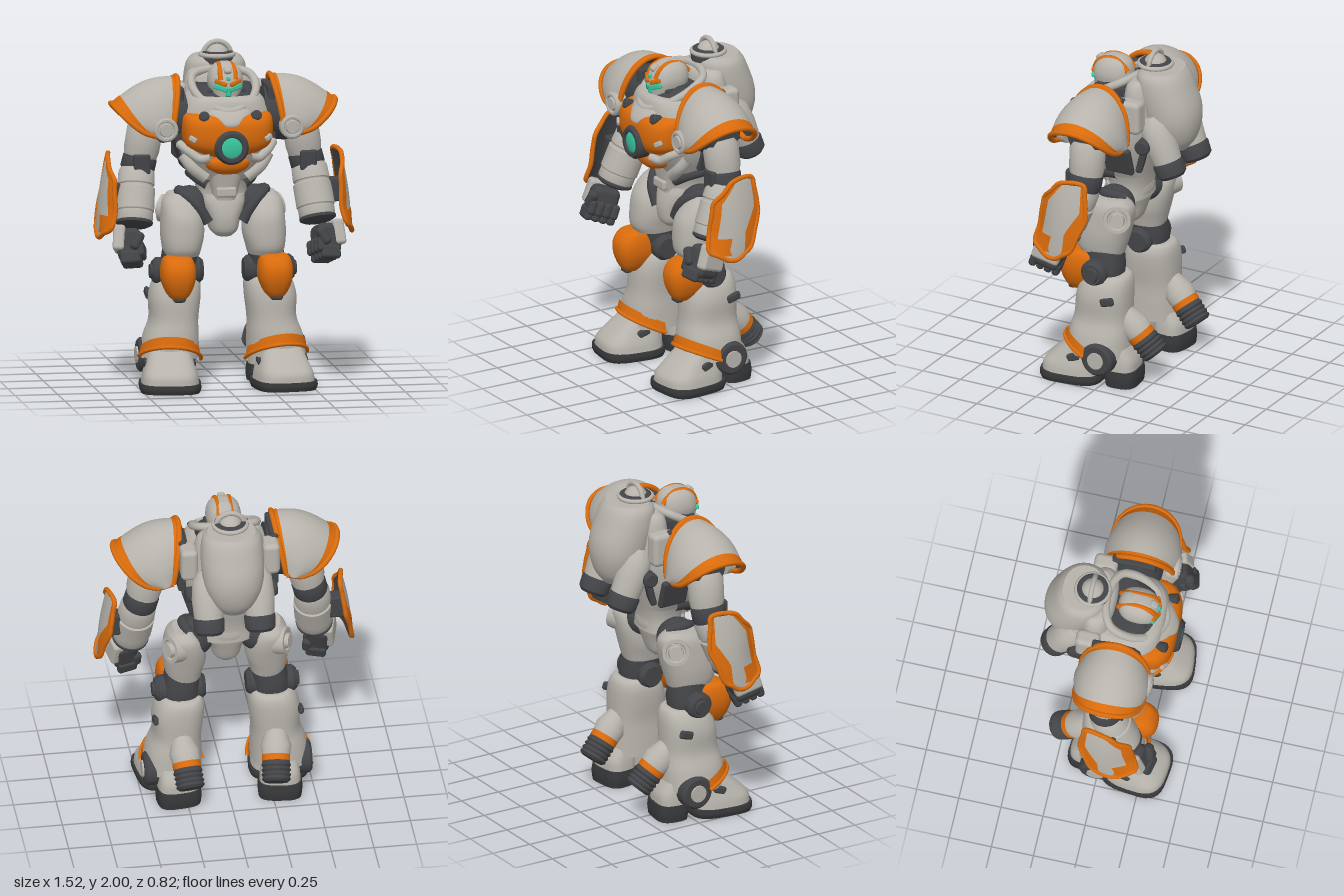
import * as THREE from 'three';
import { toCreasedNormals } from 'three/addons/utils/BufferGeometryUtils.js';
import { RoundedBoxGeometry } from 'three/addons/geometries/RoundedBoxGeometry.js';

const paint = (name, color) => Object.assign(new THREE.MeshStandardMaterial({ color }), { name });
const grey = paint('armour grey', 0xb7b3ac), orange = paint('trim orange', 0xd96b0c);
const dark = paint('joint dark grey', 0x434447), sole = paint('rubber black', 0x37383a), teal = paint('glow teal', 0x38c79e);
const V = (x, y, z) => new THREE.Vector3(x, y, z);

function add(parent, name, geo, mat, pos = [0, 0, 0], rot = [0, 0, 0]) {
  const m = new THREE.Mesh(geo, mat);
  m.name = name; m.position.set(...pos); m.rotation.set(...rot);
  parent.add(m);
  return m;
}
function indexed(pos, idx) {
  const g = new THREE.BufferGeometry();
  g.setAttribute('position', new THREE.Float32BufferAttribute(pos, 3));
  g.setIndex(idx); g.computeVertexNormals();
  return g;
}
// Closed body from horizontal superellipse sections [y, cx, cz, rx, rz]
function loft(sections, n = 2.4, sides = 32, steps = 4) {
  const curve = new THREE.CubicInterpolant(sections.map((_, i) => i), sections.flat(), 5);
  const rows = (sections.length - 1) * steps + 1, pos = [], idx = [];
  const bend = c => Math.sign(c) * Math.abs(c) ** (2 / n);
  const ring = t => {
    const [y, cx, cz, rx, rz] = curve.evaluate(t);
    for (let i = 0; i < sides; i++) {
      const a = i / sides * Math.PI * 2;
      pos.push(cx + rx * bend(Math.cos(a)), y, cz + rz * bend(Math.sin(a)));
    }
    return [cx, y, cz];
  };
  for (let r = 0; r < rows; r++) ring(r / steps);
  for (let r = 0; r < rows - 1; r++) for (let i = 0; i < sides; i++) {
    const a = r * sides + i, c = r * sides + (i + 1) % sides;
    idx.push(a, a + sides, c, c, a + sides, c + sides);
  }
  for (const top of [false, true]) {
    const base = pos.length / 3, mid = base + sides;
    pos.push(...ring(top ? sections.length - 1 : 0));
    for (let i = 0; i < sides; i++) {
      const a = base + i, b = base + (i + 1) % sides;
      idx.push(mid, top ? b : a, top ? a : b);
    }
  }
  return indexed(pos, idx);
}
// Open curved sheet from fn(u, v)
function sheet(fn, nu, nv, flip) {
  const pos = [], idx = [];
  for (let j = 0; j <= nv; j++) for (let i = 0; i <= nu; i++) pos.push(...fn(i / nu, j / nv).toArray());
  for (let j = 0; j < nv; j++) for (let i = 0; i < nu; i++) {
    const a = j * (nu + 1) + i, b = a + 1, c = a + nu + 1, d = c + 1;
    idx.push(...(flip ? [a, c, b, b, c, d] : [a, b, c, b, d, c]));
  }
  return indexed(pos, idx);
}
// Turned part between two points; profile is [fraction along, radius]
function limb(parent, name, mat, a, b, profile) {
  const A = V(...a), d = V(...b).sub(A), len = d.length();
  const pts = [[profile[0][0], 0], ...profile, [profile.at(-1)[0], 0]].map(([t, r]) => new THREE.Vector2(r, t * len));
  const m = add(parent, name, toCreasedNormals(new THREE.LatheGeometry(pts, 32), 0.6), mat, a);
  m.quaternion.setFromUnitVectors(V(0, 1, 0), d.normalize());
}
const tube = (pts, r, closed = false, n = 48) => new THREE.TubeGeometry(
  new THREE.CatmullRomCurve3(pts.map(p => p.isVector3 ? p : V(...p)), closed, 'centripetal'), n, r, 10, closed);
const box = (x, y, z, r = 0.015) => new RoundedBoxGeometry(x, y, z, 2, r);

// Reflected copy with corrected face order
function mirrored(src, name) {
  const out = new THREE.Group(); out.name = name;
  src.updateMatrixWorld(true);
  src.traverse(o => {
    if (!o.isMesh) return;
    const g = o.geometry.clone().applyMatrix4(new THREE.Matrix4().makeScale(-1, 1, 1).multiply(o.matrixWorld));
    const ix = g.index ? Array.from(g.index.array) : Array.from({ length: g.attributes.position.count }, (_, i) => i);
    for (let i = 0; i < ix.length; i += 3) [ix[i + 1], ix[i + 2]] = [ix[i + 2], ix[i + 1]];
    add(out, o.name, g.setIndex(ix), o.material);
  });
  return out;
}

function buildLeg() {
  const g = new THREE.Group();
  // thigh, hip and knee
  add(g, 'hipJoint', new THREE.SphereGeometry(0.12, 28, 20), dark, [0.19, 1.05, 0.04]);
  add(g, 'thigh', loft([[0.775, 0.245, 0.085, 0.1, 0.13], [0.82, 0.245, 0.09, 0.112, 0.148], [0.9, 0.24, 0.08, 0.125, 0.16],
    [1.0, 0.24, 0.06, 0.12, 0.165], [1.08, 0.25, 0.03, 0.1, 0.14], [1.13, 0.255, 0.02, 0.06, 0.09]]), grey);
  limb(g, 'hipDisc', grey, [0.28, 1.02, -0.03], [0.36, 1.03, -0.07], [[0, 0.085], [0.8, 0.08], [0.8, 0.06], [0.7, 0.055], [0.7, 0.045], [1, 0.04]]);
  add(g, 'kneeCore', loft([[0.62, 0.265, 0.05, 0.1, 0.1], [0.7, 0.262, 0.06, 0.105, 0.115], [0.82, 0.25, 0.075, 0.1, 0.115]]), dark);
  limb(g, 'kneeJoint', dark, [0.12, 0.68, 0.07], [0.415, 0.68, 0.07], [[0, 0.06], [0.08, 0.08], [0.92, 0.08], [1, 0.06]]);
  limb(g, 'kneeCap', dark, [0.4, 0.68, 0.07], [0.43, 0.68, 0.07], [[0, 0.05], [1, 0.04]]);
  add(g, 'kneePad', loft([[0.53, 0.285, 0.22, 0.035, 0.05], [0.57, 0.285, 0.21, 0.07, 0.09], [0.64, 0.285, 0.2, 0.097, 0.125],
    [0.71, 0.285, 0.2, 0.1, 0.125], [0.765, 0.285, 0.19, 0.085, 0.1], [0.785, 0.285, 0.18, 0.055, 0.06]], 2.7), orange);
  add(g, 'kneeLatch', box(0.07, 0.05, 0.05), dark, [0.285, 0.545, 0.255]);
  // shin armour
  add(g, 'shin', loft([[0.18, 0.315, 0.06, 0.172, 0.19], [0.3, 0.305, 0.06, 0.16, 0.185], [0.4, 0.288, 0.055, 0.142, 0.17],
    [0.52, 0.282, 0.05, 0.15, 0.165], [0.6, 0.272, 0.04, 0.142, 0.15], [0.645, 0.265, 0.03, 0.12, 0.125], [0.66, 0.262, 0.03, 0.1, 0.1]]), grey);
  add(g, 'shinVent', box(0.03, 0.05, 0.09), dark, [0.425, 0.535, -0.04], [0.3, 0, 0]);
  const band = (u, v) => {
    const a = (u - 0.5) * 3, r = 1 - 0.07 * v;
    return V(0.312 + 0.183 * r * Math.sin(a), 0.165 + 0.095 * Math.cos(a) + 0.015 * Math.sin(a) + 0.06 * v, 0.065 + 0.212 * r * Math.cos(a));
  };
  add(g, 'ankleTrim', sheet(band, 32, 3), orange);
  add(g, 'ankleTrimEdge', tube(Array.from({ length: 13 }, (_, i) => band(i / 12, 0)), 0.011), orange);
  // calf thruster
  const a = [0.275, 0.42, -0.07], b = [0.25, 0.19, -0.27];
  limb(g, 'calfNozzle', grey, a, b, [[0, 0.06], [0.3, 0.09], [0.55, 0.078]]);
  limb(g, 'calfTrim', orange, a, b, [[0.48, 0.082], [0.6, 0.082]]);
  limb(g, 'calfExhaust', dark, a, b, [[0.6, 0.078], [0.68, 0.086], [0.72, 0.076], [0.77, 0.086], [0.81, 0.076], [0.86, 0.086], [0.9, 0.078], [0.95, 0.084], [1, 0.068]]);
  // ankle wheel
  limb(g, 'ankleRing', dark, [0.4, 0.18, 0], [0.49, 0.18, 0], [[0, 0.1], [0.85, 0.1], [1, 0.085]]);
  limb(g, 'ankleHub', grey, [0.4, 0.18, 0], [0.5, 0.18, 0], [[0, 0.055], [1, 0.05]]);
  // foot, turned slightly outward
  const f = new THREE.Group(); f.name = 'foot'; f.position.set(0.308, 0, 0); f.rotation.y = 0.12; g.add(f);
  add(f, 'toeSole', loft([[0, 0, 0.215, 0.172, 0.185], [0.025, 0, 0.215, 0.18, 0.193], [0.052, 0, 0.215, 0.178, 0.19]], 3.6), sole);
  add(f, 'toe', loft([[0.05, 0, 0.215, 0.168, 0.185], [0.1, 0, 0.21, 0.16, 0.18], [0.155, 0, 0.18, 0.142, 0.155], [0.22, 0, 0.13, 0.125, 0.13], [0.27, 0, 0.09, 0.11, 0.12]], 3), grey);
  add(f, 'heelSole', loft([[0, 0, -0.09, 0.125, 0.095], [0.05, 0, -0.09, 0.13, 0.1], [0.1, 0, -0.09, 0.125, 0.095]], 3.2), sole);
  add(f, 'heel', loft([[0.09, 0, -0.085, 0.12, 0.092], [0.16, 0, -0.08, 0.115, 0.09], [0.23, 0, -0.06, 0.1, 0.07]], 3), grey);
  for (const s of [-1, 1]) add(f, 'instepClamp', box(0.05, 0.05, 0.08), dark, [0.125 * s, 0.16, 0.18], [0.4, 0, 0]);
  return g;
}

// Shoulder shell: u runs back to front over the arch, v from neck to outer rim
function padPoint(u, v, inset = 0) {
  const t = (u - 0.5) * Math.PI, c = Math.max(0, Math.cos(t)), s = Math.sin(t);
  const bulge = 0.05 * Math.sin(Math.PI * v) - inset;
  return V(0.33 - 0.055 * c, 1.525 + 0.295 * c, 0.08 + 0.2 * s)
    .lerp(V(0.42 + 0.235 * c ** 0.6, 1.5 + 0.17 * c, 0.08 + 0.2 * s), v).add(V(0, bulge * c, bulge * s * 0.5));
}
// Forearm shield: rows of [y, back z, front z]; u runs back to front, v upward
const shieldRows = [[0.905, 0.12, 0.18], [0.965, 0.03, 0.285], [1.16, -0.045, 0.255], [1.24, -0.04, 0.24], [1.36, -0.02, 0.125]];
function shieldPoint(u, v, lift = 0) {
  const i = Math.min(3, Math.floor(v * 4));
  const [y, z0, z1] = shieldRows[i].map((n, k) => THREE.MathUtils.lerp(n, shieldRows[i + 1][k], v * 4 - i));
  const z = z0 + (z1 - z0) * u, d = z - 0.1, wrap = d > 0 ? 2.6 * Math.min(1, (y - 0.85) / 0.2) : 1.8;
  return V(0.745 - 0.32 * Math.max(0, y - 0.93) ** 2 - wrap * d * d + lift, y, z);
}

function buildArm() {
  const g = new THREE.Group();
  // shoulder pad with trimmed edges
  add(g, 'shoulderPad', sheet((u, v) => padPoint(u, v), 36, 14), grey);
  add(g, 'shoulderLining', sheet((u, v) => padPoint(u, v, 0.02), 36, 14, true), dark);
  add(g, 'padOuterBand', sheet((u, v) => padPoint(u, 0.87 + 0.13 * v, -0.004), 36, 3), orange);
  add(g, 'padInnerBand', sheet((u, v) => padPoint(u, 0.09 * v, -0.004), 36, 3), orange);
  for (const v of [0, 1]) add(g, v ? 'padOuterTrim' : 'padInnerTrim',
    tube(Array.from({ length: 25 }, (_, i) => padPoint(i / 24, v)), 0.016, false, 60), orange);
  for (const u of [0, 1]) add(g, 'padLowerTrim', tube([padPoint(u, 0), padPoint(u, 1)], 0.017, false, 4), orange);
  limb(g, 'padDisc', grey, [0.37, 1.54, 0.24], [0.37, 1.54, 0.31], [[0, 0.07], [0.9, 0.07], [1, 0.062], [1, 0.05], [0.85, 0.046], [0.85, 0.04], [1.05, 0.036]]);
  limb(g, 'shoulderJoint', dark, [0.22, 1.6, 0.07], [0.52, 1.57, 0.07], [[0, 0.15], [0.5, 0.155], [0.85, 0.125], [1, 0.09]]);
  add(g, 'shoulderBracket', box(0.05, 0.34, 0.26), dark, [0.27, 1.6, 0.06]);
  // arm
  limb(g, 'upperArm', grey, [0.45, 1.55, 0.07], [0.49, 1.31, 0.06], [[0, 0.09], [0.15, 0.105], [0.65, 0.104], [0.95, 0.09]]);
  limb(g, 'elbow', dark, [0.475, 1.385, 0.06], [0.51, 1.25, 0.07], [[0, 0.085], [0.3, 0.1], [0.75, 0.1], [1, 0.085]]);
  add(g, 'elbowClasp', box(0.1, 0.12, 0.05), dark, [0.49, 1.32, 0.15]);
  const a = [0.505, 1.29, 0.065], b = [0.54, 0.97, 0.19];
  limb(g, 'forearm', grey, a, b, [[0, 0.09], [0.08, 0.104], [0.3, 0.108], [0.32, 0.102], [0.35, 0.102], [0.37, 0.112], [0.75, 0.112], [0.77, 0.106], [0.9, 0.106], [0.95, 0.1]]);
  limb(g, 'wristRing', dark, a, b, [[0.92, 0.1], [0.94, 0.108], [0.98, 0.106], [1.02, 0.08]]);
  // fist
  const h = new THREE.Group(); h.name = 'hand'; h.position.set(0.575, 0.87, 0.245); h.rotation.set(-0.35, 0.25, 0); g.add(h);
  add(h, 'palm', box(0.14, 0.19, 0.17, 0.04), dark, [0, -0.01, 0]);
  add(h, 'handPlate', box(0.07, 0.15, 0.17, 0.02), grey, [0.055, 0.03, 0.01], [0, 0, 0.1]);
  for (let i = 0; i < 4; i++) {
    add(h, 'finger', box(0.12, 0.08, 0.048, 0.02), dark, [-0.005, -0.09, -0.072 + i * 0.048]);
    add(h, 'fingertip', box(0.055, 0.09, 0.046, 0.02), dark, [-0.06, -0.045, -0.072 + i * 0.048]);
  }
  add(h, 'thumb', box(0.06, 0.11, 0.06, 0.025), dark, [-0.05, 0.0, 0.085], [0, 0, 0.5]);
  // curved forearm shield with painted border
  add(g, 'armShield', sheet((u, v) => shieldPoint(u, v), 14, 24, true), grey);
  add(g, 'shieldLining', sheet((u, v) => shieldPoint(u, v, -0.014), 14, 24), dark);
  add(g, 'shieldFrontBand', sheet((u, v) => shieldPoint(0.85 + 0.15 * u, v, 0.004), 4, 24, true), orange);
  add(g, 'shieldBackBand', sheet((u, v) => shieldPoint(u * (0.1 + 0.18 * Math.max(0, 1 - Math.abs(v - 0.38) / 0.25)), v, 0.004), 4, 24, true), orange);
  add(g, 'shieldPatch', sheet((u, v) => shieldPoint(0.56 + 0.36 * u, 0.12 + 0.22 * v, 0.005), 6, 6, true), orange);
  const rim = [0, 1].flatMap(u => Array.from({ length: 9 }, (_, i) => shieldPoint(u, (u ? 8 - i : i) / 8)));
  add(g, 'shieldTrim', tube(rim, 0.014, true, 90), orange);
  add(g, 'shieldMount', box(0.1, 0.14, 0.09), dark, [0.66, 1.14, 0.11]);
  return g;
}

function buildTorsoSide() {
  const g = new THREE.Group();
  // ribs, bolts and vents beside the chest
  add(g, 'chestFrame', tube([[0.275, 1.44, 0.19], [0.23, 1.405, 0.27], [0.17, 1.365, 0.305], [0.115, 1.375, 0.335]], 0.026), grey);
  add(g, 'lowerRib', tube([[0.25, 1.37, 0.16], [0.2, 1.3, 0.19], [0.12, 1.235, 0.19]], 0.035), grey);
  add(g, 'waistFold', tube([[0.1, 1.19, 0.165], [0.16, 1.23, 0.12], [0.185, 1.25, 0.02]], 0.032), dark);
  add(g, 'hipFold', tube([[0.1, 0.97, 0.16], [0.17, 1.08, 0.15], [0.25, 1.14, 0.06], [0.22, 1.12, -0.06]], 0.032), dark);
  limb(g, 'collarBolt', dark, [0.15, 1.6, 0.28], [0.155, 1.625, 0.35], [[0, 0.03], [0.9, 0.03], [1, 0.02]]);
  add(g, 'chestLatch', box(0.05, 0.03, 0.03, 0.008), grey, [0.22, 1.49, 0.345], [0, 0.5, 0.5]);
  add(g, 'sideVent', box(0.04, 0.18, 0.18), dark, [0.235, 1.36, -0.01], [0, 0, -0.3]);
  add(g, 'backVent', box(0.16, 0.14, 0.04), dark, [0.15, 1.37, -0.125], [-0.25, 0.35, 0]);
  add(g, 'podMount', box(0.1, 0.2, 0.14, 0.03), grey, [0.24, 1.66, -0.1]);
  // back thruster pod
  const a = [0.145, 1.64, -0.18], b = [0.15, 1.29, -0.325];
  limb(g, 'backPod', grey, a, b, [[0, 0.05], [0.15, 0.085], [0.45, 0.095], [0.75, 0.085]]);
  limb(g, 'podExhaust', dark, a, b, [[0.72, 0.083], [0.78, 0.092], [0.95, 0.088], [1, 0.07]]);
  limb(g, 'podPivot', dark, [0.18, 1.48, -0.17], [0.27, 1.48, -0.18], [[0, 0.045], [0.9, 0.045], [1, 0.035]]);
  // face and helmet side
  add(g, 'visor', box(0.085, 0.03, 0.03, 0.008), teal, [0.042, 1.772, 0.255], [0, 0.35, 0.3]);
  add(g, 'brow', box(0.075, 0.026, 0.04, 0.008), orange, [0.04, 1.802, 0.252], [0, 0.4, 0.35]);
  add(g, 'cheek', box(0.04, 0.08, 0.09, 0.012), dark, [0.088, 1.72, 0.17], [0, 0.2, 0.15]);
  add(g, 'helmetStripe', tube([[0.042, 1.815, 0.255], [0.042, 1.865, 0.228], [0.036, 1.893, 0.165], [0.036, 1.883, 0.09], [0.042, 1.83, 0.035]], 0.016), orange);
  return g;
}

function buildTorso() {
  const g = new THREE.Group(); g.name = 'torso';
  // pelvis and waist
  add(g, 'pelvis', loft([[0.885, 0, 0.08, 0.045, 0.08], [0.92, 0, 0.08, 0.08, 0.115], [1.0, 0, 0.07, 0.1, 0.135], [1.08, 0, 0.05, 0.13, 0.14], [1.13, 0, 0.04, 0.13, 0.13]], 2.6), grey);
  add(g, 'waist', loft([[1.06, 0, 0.03, 0.16, 0.12], [1.16, 0, 0.03, 0.15, 0.12], [1.3, 0, 0.04, 0.2, 0.16]]), grey);
  add(g, 'abdomenPlate', loft([[1.1, 0, 0.1, 0.07, 0.09], [1.17, 0, 0.1, 0.085, 0.1], [1.28, 0, 0.1, 0.12, 0.12]], 3), grey);
  add(g, 'beltBuckle', box(0.12, 0.06, 0.04), grey, [0, 1.15, 0.195]);
  // chest
  add(g, 'ribcage', loft([[1.22, 0, 0.04, 0.17, 0.15], [1.34, 0, 0.06, 0.235, 0.2], [1.44, 0, 0.07, 0.265, 0.235], [1.54, 0, 0.07, 0.275, 0.25],
    [1.62, 0, 0.07, 0.265, 0.245], [1.69, 0, 0.08, 0.23, 0.22], [1.72, 0, 0.09, 0.2, 0.18]], 2.8), grey);
  add(g, 'chestPlate', loft([[1.375, 0, 0.2, 0.1, 0.12], [1.4, 0, 0.2, 0.18, 0.15], [1.44, 0, 0.2, 0.245, 0.175], [1.5, 0, 0.2, 0.262, 0.185],
    [1.57, 0, 0.2, 0.264, 0.178], [1.61, 0, 0.19, 0.256, 0.16], [1.628, 0, 0.18, 0.235, 0.13]], 3.2), orange);
  add(g, 'collarPlate', loft([[1.545, 0, 0.22, 0.07, 0.155], [1.575, 0, 0.22, 0.115, 0.163], [1.62, 0, 0.19, 0.16, 0.165], [1.66, 0, 0.16, 0.175, 0.155]], 2.4), grey);
  add(g, 'bellyPlate', loft([[1.27, 0, 0.18, 0.07, 0.11], [1.3, 0, 0.19, 0.12, 0.13], [1.34, 0, 0.19, 0.13, 0.14], [1.365, 0, 0.19, 0.1, 0.13]], 2.8), orange);
  limb(g, 'coreRing', dark, [0, 1.44, 0.32], [0, 1.44, 0.405], [[0, 0.1], [0.75, 0.1], [1, 0.085], [1, 0.065], [0.85, 0.06]]);
  limb(g, 'coreLight', teal, [0, 1.44, 0.34], [0, 1.44, 0.4], [[0, 0.06], [0.9, 0.06], [1, 0.045]]);
  // collar and head
  add(g, 'collar', tube([[0, 1.64, 0.31], [0.12, 1.68, 0.255], [0.185, 1.755, 0.13], [0.16, 1.82, 0.01], [0, 1.84, -0.04],
    [-0.16, 1.82, 0.01], [-0.185, 1.755, 0.13], [-0.12, 1.68, 0.255]], 0.024, true, 80), grey);
  add(g, 'neckWell', loft([[1.6, 0, 0.13, 0.15, 0.16], [1.68, 0, 0.12, 0.172, 0.165], [1.735, 0, 0.09, 0.172, 0.145], [1.77, 0, 0.05, 0.165, 0.1]]), dark);
  add(g, 'cowl', loft([[1.6, 0, -0.08, 0.22, 0.11], [1.74, 0, -0.08, 0.205, 0.1], [1.81, 0, -0.08, 0.185, 0.085], [1.84, 0, -0.09, 0.15, 0.06]]), grey);
  add(g, 'head', loft([[1.65, 0, 0.18, 0.045, 0.07], [1.69, 0, 0.165, 0.07, 0.095], [1.74, 0, 0.155, 0.09, 0.11], [1.8, 0, 0.15, 0.103, 0.12],
    [1.86, 0, 0.145, 0.09, 0.105], [1.895, 0, 0.14, 0.06, 0.07], [1.91, 0, 0.14, 0.025, 0.03]]), grey);
  add(g, 'helmetCrest', box(0.045, 0.05, 0.08, 0.015), grey, [0, 1.855, 0.225], [-0.9, 0, 0]);
  add(g, 'noseLight', box(0.035, 0.05, 0.03, 0.01), teal, [0, 1.745, 0.26]);
  add(g, 'foreheadLight', box(0.022, 0.022, 0.02, 0.006), teal, [0, 1.825, 0.268]);
  // backpack with domed cap
  add(g, 'backpack', loft([[1.41, 0, -0.25, 0.08, 0.08], [1.48, 0, -0.26, 0.13, 0.12], [1.58, 0, -0.25, 0.17, 0.155], [1.68, 0, -0.23, 0.182, 0.17],
    [1.78, 0, -0.2, 0.182, 0.165], [1.86, 0, -0.182, 0.17, 0.148], [1.9, 0, -0.18, 0.14, 0.12]], 2.15), grey);
  limb(g, 'capSeat', dark, [0, 1.86, -0.125], [0, 1.93, -0.125], [[0, 0.1], [0.8, 0.1], [1, 0.085]]);
  add(g, 'capRing', new THREE.TorusGeometry(0.095, 0.014, 10, 36), grey, [0, 1.91, -0.125], [Math.PI / 2, 0, 0]);
  add(g, 'capDome', new THREE.SphereGeometry(0.07, 28, 18), grey, [0, 1.9, -0.125]);
  add(g, 'capArch', new THREE.TorusGeometry(0.082, 0.015, 10, 28, Math.PI), grey, [0, 1.903, -0.125]);
  return g;
}

export function createModel() {
  const model = new THREE.Group(); model.name = 'armouredSuit';
  model.add(buildTorso());
  for (const [part, build] of [['Leg', buildLeg], ['Arm', buildArm], ['TorsoDetail', buildTorsoSide]]) {
    const left = build();
    left.name = 'left' + part;
    model.add(left, mirrored(left, 'right' + part));
  }
  return model;
}
